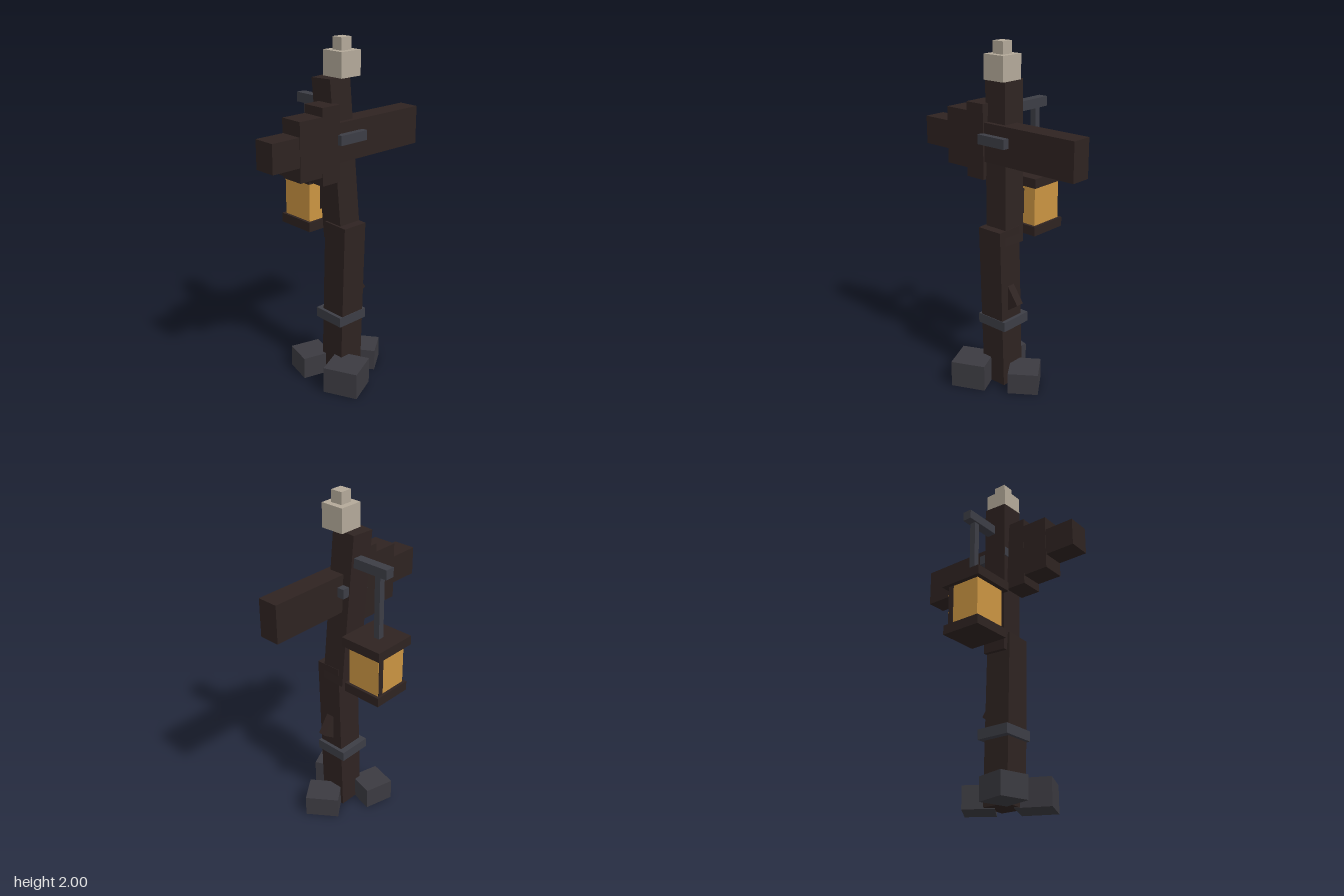
import * as THREE from 'three';

const mat = (name, color) => {
  const m = new THREE.MeshStandardMaterial({ color });
  m.name = name;
  return m;
};

export function createModel() {
  const wood = mat('dark wood', 0x2e2321);
  const iron = mat('iron', 0x3c3d45);
  const rock = mat('rock', 0x3b3a40);
  const bone = mat('pale stone', 0xb3a999);
  const glass = mat('amber glass', 0xca9442);

  const model = new THREE.Group();
  model.name = 'signpost';

  const box = (name, material, size, pos, rot = [0, 0, 0], parent = model) => {
    const m = new THREE.Mesh(new THREE.BoxGeometry(...size), material);
    m.name = name;
    m.position.set(...pos);
    m.rotation.set(...rot);
    parent.add(m);
    return m;
  };

  // Box given by its lowest and highest corner
  const span = (name, material, a, b, parent = model) =>
    box(name, material, a.map((v, i) => b[i] - v), a.map((v, i) => (v + b[i]) / 2), [0, 0, 0], parent);

  // Square beam running from one point to another
  const beam = (name, material, width, from, to) => {
    const a = new THREE.Vector3(...from), b = new THREE.Vector3(...to);
    const dir = b.clone().sub(a);
    const m = box(name, material, [width, dir.length(), width], a.add(b).multiplyScalar(0.5).toArray());
    m.quaternion.setFromUnitVectors(new THREE.Vector3(0, 1, 0), dir.normalize());
  };

  // Crooked post in two leaning pieces, with splinters
  beam('lowerPost', wood, 0.16, [0.05, 0.003, 0], [0.08, 0.973, 0]);
  beam('upperPost', wood, 0.145, [0.043, 0.875, -0.01], [-0.002, 1.79, 0.034]);
  box('backSplinter', wood, [0.05, 0.13, 0.1], [0.07, 0.555, -0.073], [0.61, 0, 0]);
  box('sideSplinter', wood, [0.1, 0.12, 0.05], [-0.106, 1.083, 0], [0, 0, 0.64]);

  // Iron bands
  span('lowerBand', iron, [-0.055, 0.367, -0.101], [0.147, 0.425, 0.101]);
  span('upperBand', iron, [-0.055, 1.445, -0.097], [0.147, 1.5, 0.094]);

  // Arrow board pointing forward, stepped towards its tip
  const sign = new THREE.Group();
  sign.name = 'arrowSign';
  model.add(sign);
  span('signBoard', wood, [-0.012, 1.34, -0.537], [0.11, 1.56, 0.1], sign);
  span('arrowBase', wood, [-0.022, 1.237, 0.08], [0.119, 1.662, 0.204], sign);
  span('arrowMiddle', wood, [-0.021, 1.287, 0.2], [0.118, 1.613, 0.357], sign);
  span('arrowTip', wood, [-0.017, 1.37, 0.35], [0.115, 1.532, 0.536], sign);

  // Finial
  span('finialBase', bone, [-0.022, 1.795, -0.07], [0.119, 1.932, 0.07]);
  span('finialTop', bone, [0.013, 1.93, -0.036], [0.084, 2, 0.036]);

  // Hanging lantern
  const lantern = new THREE.Group();
  lantern.name = 'lantern';
  model.add(lantern);
  span('bracket', iron, [-0.29, 1.607, -0.029], [0.01, 1.662, 0.027], lantern);
  span('hanger', iron, [-0.24, 1.23, -0.018], [-0.204, 1.61, 0.018], lantern);
  span('lanternCap', wood, [-0.34, 1.185, -0.132], [-0.075, 1.24, 0.132], lantern);
  span('lanternGlass', glass, [-0.313, 0.945, -0.104], [-0.105, 1.19, 0.104], lantern);
  span('lanternStrip', wood, [-0.317, 0.945, -0.1], [-0.31, 1.19, -0.068], lantern);
  span('lanternBase', wood, [-0.33, 0.895, -0.121], [-0.087, 0.95, 0.121], lantern);

  // Rocks around the foot
  [
    [[0.176, 0.13, 0.18], [-0.097, 0.11], -0.26],
    [[0.204, 0.157, 0.204], [0.2, 0.1], 0.43],
    [[0.197, 0.127, 0.176], [0.0475, -0.1675], 0.62],
  ].forEach(([size, [x, z], turn], i) =>
    box('rock' + (i + 1), rock, size, [x, size[1] / 2, z], [0, turn, 0]));

  return model;
}
